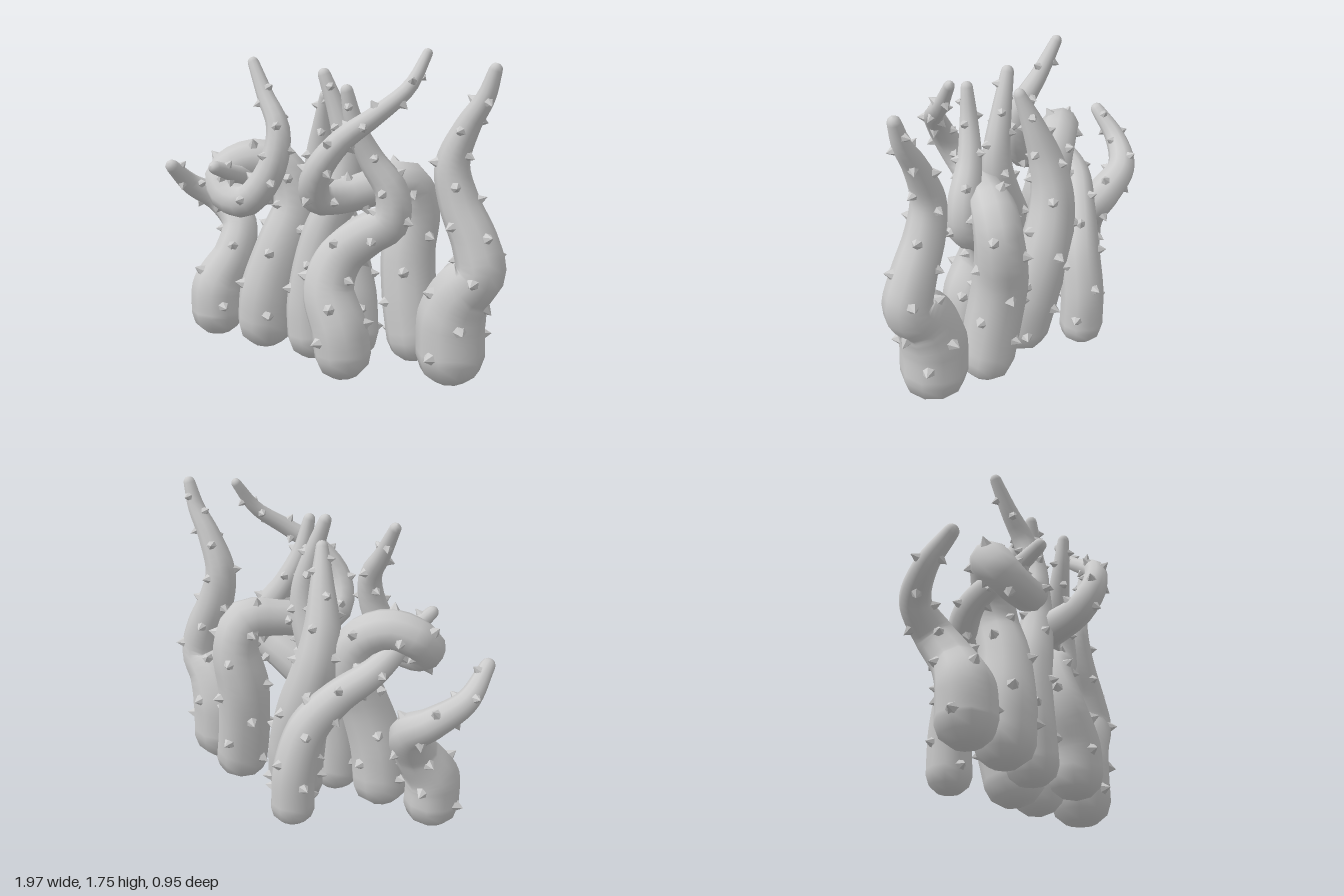
import * as THREE from 'three';
import { mergeGeometries } from 'three/addons/utils/BufferGeometryUtils.js';

const SIDES = 10;
const RINGS = 44;
const CAP = 3;

// Spine points of each tentacle from base to tip: [x, y, z, radius]
const TENTACLES = {
  farRightTentacle: [
    [-0.69, 0.18, 0.05, 0.148], [-0.69, 0.34, 0.04, 0.145], [-0.635, 0.51, -0.05, 0.115], [-0.65, 0.66, -0.15, 0.102],
    [-0.79, 0.775, -0.18, 0.08], [-0.91, 0.88, -0.07, 0.06], [-0.94, 1.02, 0.08, 0.038]],
  rightLoopTentacle: [
    [-0.36, 0.19, 0.08, 0.157], [-0.34, 0.38, 0.08, 0.157], [-0.27, 0.65, 0.04, 0.137], [-0.22, 0.87, -0.03, 0.122],
    [-0.28, 1.04, -0.03, 0.112], [-0.43, 1.11, 0.03, 0.107], [-0.575, 1.03, 0.12, 0.102], [-0.52, 0.94, 0.19, 0.094],
    [-0.38, 0.93, 0.22, 0.087], [-0.25, 1.1, 0.19, 0.077], [-0.23, 1.31, 0.14, 0.062], [-0.33, 1.47, 0.09, 0.045],
    [-0.42, 1.63, 0.05, 0.03]],
  backTentacle: [
    [-0.08, 0.16, -0.36, 0.12], [-0.09, 0.38, -0.355, 0.116], [-0.14, 0.61, -0.3, 0.107], [-0.26, 0.78, -0.215, 0.09],
    [-0.4, 0.91, -0.1, 0.075], [-0.45, 1.0, 0.06, 0.06], [-0.46, 1.06, 0.2, 0.047], [-0.5, 1.12, 0.33, 0.035]],
  backCentreTentacle: [
    [0.09, 0.14, -0.07, 0.16], [0.06, 0.35, -0.11, 0.16], [-0.02, 0.65, -0.16, 0.142], [-0.09, 0.9, -0.15, 0.12],
    [-0.1, 1.08, -0.11, 0.1], [-0.06, 1.3, -0.05, 0.064], [-0.02, 1.48, 0.01, 0.033]],
  centreTentacle: [
    [-0.06, 0.17, 0.09, 0.142], [-0.07, 0.35, 0.09, 0.135], [-0.05, 0.55, 0.08, 0.125], [0, 0.76, 0.07, 0.115],
    [0.08, 0.96, 0.06, 0.098], [0.12, 1.1, 0.055, 0.083], [0.12, 1.23, 0.055, 0.07], [0.07, 1.41, 0.06, 0.052],
    [0, 1.6, 0.07, 0.033]],
  frontTentacle: [
    [0.18, 0.16, 0.225, 0.15], [0.16, 0.3, 0.225, 0.15], [0.08, 0.5, 0.19, 0.137], [0.12, 0.67, 0.13, 0.125],
    [0.25, 0.79, 0.085, 0.112], [0.375, 0.88, 0.07, 0.102], [0.38, 1.03, 0.075, 0.087], [0.28, 1.2, 0.11, 0.067],
    [0.21, 1.38, 0.16, 0.049], [0.18, 1.55, 0.19, 0.032]],
  leftArchTentacle: [
    [0.455, 0.18, -0.1, 0.15], [0.415, 0.4, -0.12, 0.15], [0.39, 0.65, -0.15, 0.145], [0.42, 0.88, -0.17, 0.127],
    [0.39, 1.03, -0.12, 0.117], [0.27, 1.03, 0.01, 0.102], [0.13, 1.0, 0.17, 0.092], [0.07, 1.03, 0.31, 0.082],
    [0.11, 1.17, 0.385, 0.072], [0.22, 1.33, 0.36, 0.06], [0.37, 1.46, 0.25, 0.047], [0.48, 1.58, 0.12, 0.038],
    [0.53, 1.73, 0.02, 0.026]],
  farLeftTentacle: [
    [0.71, 0.19, 0.05, 0.178], [0.71, 0.41, 0.05, 0.176], [0.765, 0.56, 0.06, 0.156], [0.855, 0.67, 0.07, 0.128],
    [0.82, 0.82, 0.06, 0.117], [0.725, 1.02, 0.05, 0.102], [0.685, 1.2, 0.05, 0.087], [0.755, 1.4, 0.05, 0.064],
    [0.84, 1.55, 0.05, 0.047], [0.88, 1.68, 0.05, 0.033]],
};

// Curve, frames and radius lookup shared by the body and its thorns
function makeSpine(points) {
  const curve = new THREE.CatmullRomCurve3(points.map(p => new THREE.Vector3(p[0], p[1], p[2])));
  const frames = curve.computeFrenetFrames(RINGS, false);
  const radiusAt = u => {
    const t = curve.getUtoTmapping(u) * (points.length - 1);
    const i = Math.min(Math.floor(t), points.length - 2);
    return THREE.MathUtils.lerp(points[i][3], points[i + 1][3], t - i);
  };
  return { curve, frames, radiusAt };
}

// Tapering tube with rounded ends
function bodyGeometry({ curve, frames, radiusAt }) {
  const rings = [];
  const addRing = (i, shift, factor) => {
    const r = radiusAt(i / RINGS);
    const centre = curve.getPointAt(i / RINGS).addScaledVector(frames.tangents[i], shift * r);
    rings.push({ centre, i, r: r * factor });
  };
  for (let k = 0; k < CAP; k++) {
    const a = (k / CAP) * Math.PI / 2;
    addRing(0, -0.85 * Math.cos(a), Math.max(Math.sin(a), 0.001));
  }
  for (let i = 0; i <= RINGS; i++) addRing(i, 0, 1);
  for (let k = CAP - 1; k >= 0; k--) {
    const a = (k / CAP) * Math.PI / 2;
    addRing(RINGS, Math.cos(a), Math.max(Math.sin(a), 0.001));
  }
  const positions = [], index = [];
  rings.forEach(({ centre, i, r }, row) => {
    for (let j = 0; j < SIDES; j++) {
      const a = (j / SIDES) * Math.PI * 2;
      const p = centre.clone()
        .addScaledVector(frames.normals[i], r * Math.cos(a))
        .addScaledVector(frames.binormals[i], r * Math.sin(a));
      positions.push(p.x, p.y, p.z);
      if (row === rings.length - 1) continue;
      const a0 = row * SIDES + j, b0 = row * SIDES + (j + 1) % SIDES;
      index.push(a0, b0, a0 + SIDES, b0, b0 + SIDES, a0 + SIDES);
    }
  });
  const geometry = new THREE.BufferGeometry();
  geometry.setAttribute('position', new THREE.Float32BufferAttribute(positions, 3));
  geometry.setIndex(index);
  geometry.computeVertexNormals();
  return geometry;
}

// Small cones spiralling around the body, shrinking toward the tip
function thornGeometry({ curve, frames, radiusAt }, phase) {
  const cones = [];
  const up = new THREE.Vector3(0, 1, 0);
  const count = Math.round(curve.getLength() / 0.062);
  for (let k = 0; k < count; k++) {
    const i = Math.round(RINGS * (0.02 + 0.93 * k / (count - 1)));
    const r = radiusAt(i / RINGS);
    const a = phase + k * 2.4;
    const out = frames.normals[i].clone().multiplyScalar(Math.cos(a))
      .addScaledVector(frames.binormals[i], Math.sin(a));
    const height = 0.034 + 0.12 * r;
    const cone = new THREE.ConeGeometry(0.02 + 0.11 * r, height, 6);
    cone.applyQuaternion(new THREE.Quaternion().setFromUnitVectors(up, out));
    const p = curve.getPointAt(i / RINGS).addScaledVector(out, r * 0.94 + height * 0.4);
    cones.push(cone.translate(p.x, p.y, p.z));
  }
  return mergeGeometries(cones);
}

export function createModel() {
  const model = new THREE.Group();
  model.name = 'thornyTentacles';
  const skin = new THREE.MeshStandardMaterial({ color: 0xcccccc });
  const thorn = new THREE.MeshStandardMaterial({ color: 0xcccccc, flatShading: true });
  Object.entries(TENTACLES).forEach(([name, points], n) => {
    const spine = makeSpine(points);
    const tentacle = new THREE.Group();
    tentacle.name = name;
    const body = new THREE.Mesh(bodyGeometry(spine), skin);
    body.name = 'body';
    const thorns = new THREE.Mesh(thornGeometry(spine, n * 1.3), thorn);
    thorns.name = 'thorns';
    tentacle.add(body, thorns);
    model.add(tentacle);
  });
  return model;
}
